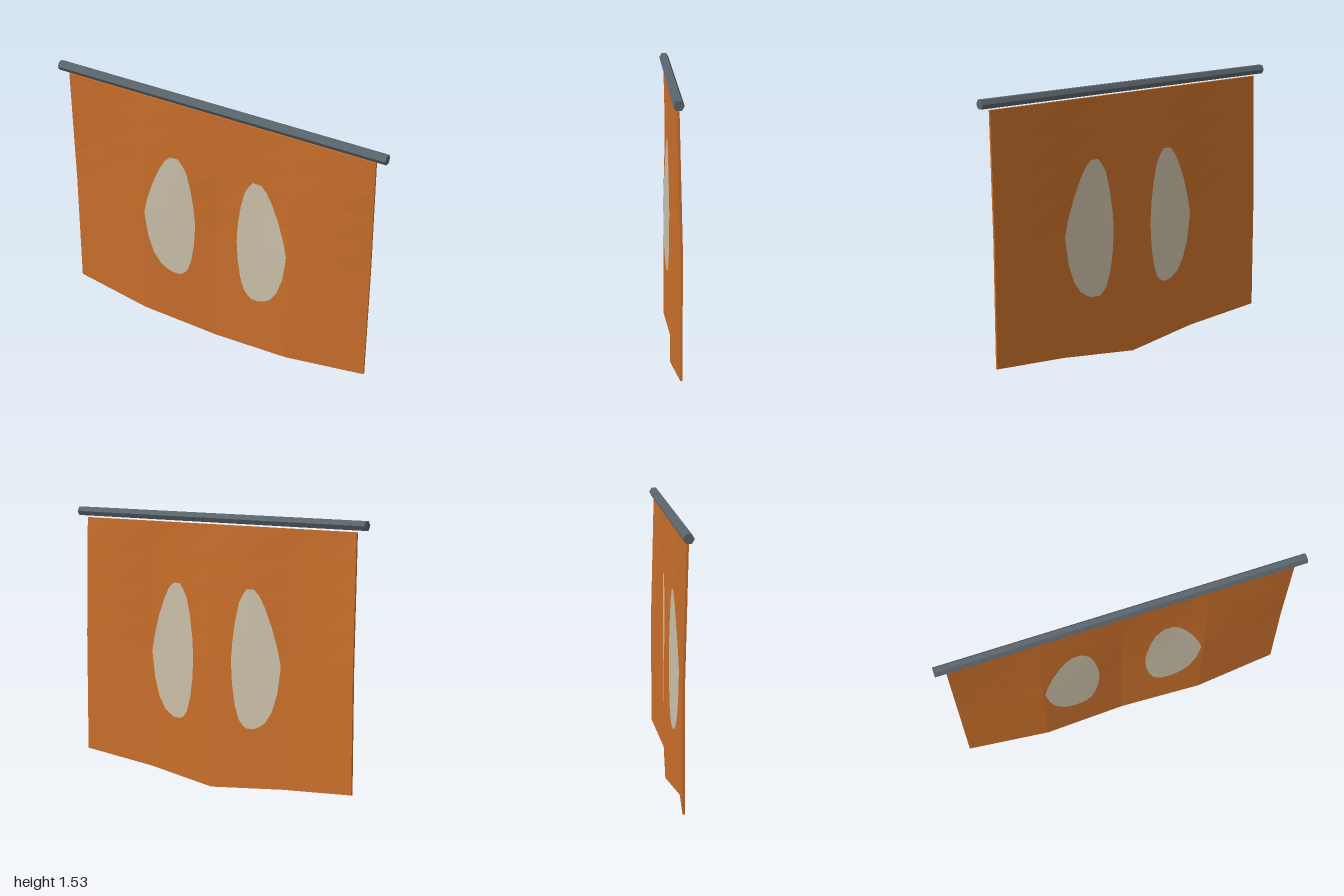
import * as THREE from 'three';

const HALF = 0.94, TOP = 1.467, COLS = 8, THICK = 0.012;

// Lower hem: a shallow V
const hem = (x) => 0.095 * Math.abs(x) / HALF;

// Folds of the cloth, straight between columns, fading out toward the rod
function fold(x, t) {
  const w = 2 * HALF / COLS;
  const i = Math.min(COLS - 1, Math.max(0, Math.floor((x + HALF) / w)));
  const wave = (k) => -0.017 * Math.cos(k * Math.PI / 2);
  const f = (x + HALF) / w - i;
  return (wave(i) * (1 - f) + wave(i + 1) * f) * Math.min(1, (1 - t) * 2);
}

function makeCloth() {
  const geo = new THREE.BoxGeometry(2 * HALF, 1, THICK, COLS, 8, 1);
  const p = geo.attributes.position;
  for (let i = 0; i < p.count; i++) {
    const x = p.getX(i), t = p.getY(i) + 0.5;
    p.setXYZ(i, x, hem(x) + t * (TOP - hem(x)), p.getZ(i) + fold(x, t));
  }
  geo.computeVertexNormals();
  return geo;
}

// Outline of the pale patch: [x, upper y, lower y]
const PATCH = [
  [0.135, 0.74, 0.70], [0.142, 0.83, 0.59], [0.16, 0.95, 0.48], [0.185, 1.05, 0.405],
  [0.21, 1.095, 0.375], [0.235, 1.127, 0.36], [0.285, 1.127, 0.361], [0.32, 1.095, 0.377],
  [0.355, 1.035, 0.40], [0.40, 0.93, 0.465], [0.435, 0.82, 0.57], [0.455, 0.73, 0.71],
];

// Patch skin lying just off one face of the cloth
function makePatch(side, face) {
  const rows = 12, pos = [], index = [];
  for (const [px, hi, lo] of PATCH) {
    for (let r = 0; r <= rows; r++) {
      const x = px * side, y = lo + (hi - lo) * r / rows;
      const t = (y - hem(x)) / (TOP - hem(x));
      pos.push(x, y, fold(x, t) + face * (THICK / 2 + 0.003));
    }
  }
  for (let c = 0; c < PATCH.length - 1; c++) {
    for (let r = 0; r < rows; r++) {
      const a = c * (rows + 1) + r, b = a + rows + 1;
      if (side * face > 0) index.push(a, b, b + 1, a, b + 1, a + 1);
      else index.push(a, b + 1, b, a, a + 1, b + 1);
    }
  }
  const geo = new THREE.BufferGeometry();
  geo.setAttribute('position', new THREE.Float32BufferAttribute(pos, 3));
  geo.setIndex(index);
  geo.computeVertexNormals();
  return geo;
}

export function createModel() {
  const mat = (name, color) => {
    const m = new THREE.MeshStandardMaterial({ color, flatShading: true });
    m.name = name;
    return m;
  };
  const orange = mat('orange cloth', 0xc96f2b);
  const cream = mat('cream patch', 0xcbc0a9);
  const steel = mat('grey metal', 0x5b656d);

  const group = new THREE.Group();
  group.name = 'hangingBanner';
  const add = (name, geo, material) => {
    const mesh = new THREE.Mesh(geo, material);
    mesh.name = name;
    group.add(mesh);
    return mesh;
  };

  // Hexagonal rod
  const rod = add('rod', new THREE.CylinderGeometry(0.028, 0.028, 2, 6).rotateZ(Math.PI / 2), steel);
  rod.position.y = 1.502;

  add('cloth', makeCloth(), orange);

  // Mirrored patches on both faces
  for (const side of [1, -1]) {
    for (const face of [1, -1]) {
      add(`${side > 0 ? 'left' : 'right'}Patch${face > 0 ? 'Front' : 'Back'}`, makePatch(side, face), cream);
    }
  }
  return group;
}
